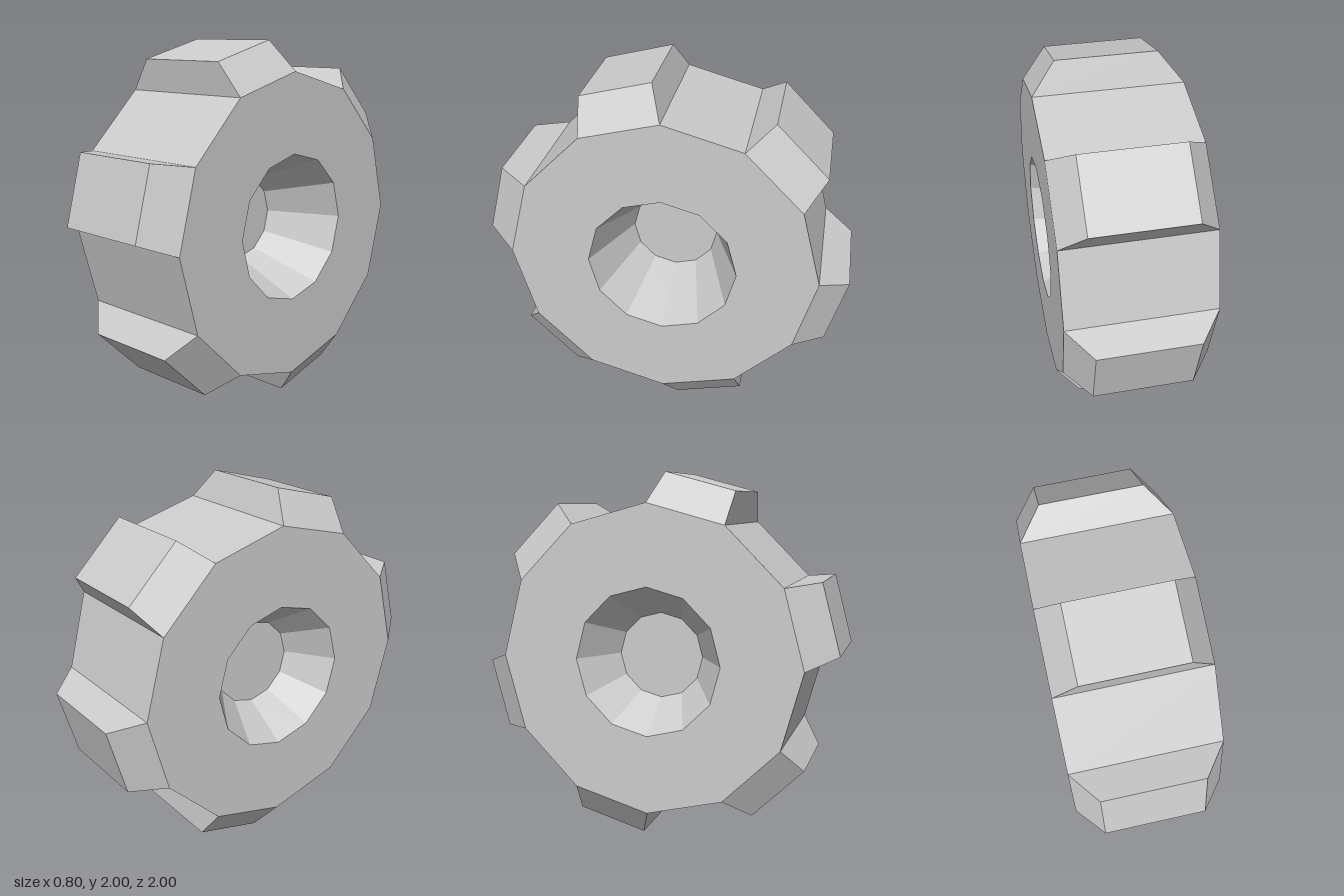
import * as THREE from 'three';

const SIDES = 12;
const RADIUS = 0.84;
const HALF_WIDTH = 0.4;

const material = new THREE.MeshStandardMaterial({ color: 0xcccccc, flatShading: true });

// Twelve-sided tyre with a conical hub recess on each side, axle along x
function createTyre() {
  const profile = [
    [0, -0.15], [0.24, -0.15], [0.405, -HALF_WIDTH], [RADIUS, -HALF_WIDTH],
    [RADIUS, HALF_WIDTH], [0.405, HALF_WIDTH], [0.24, 0], [0, 0],
  ].map(([r, y]) => new THREE.Vector2(r, y));
  const geometry = new THREE.LatheGeometry(profile, SIDES);
  geometry.rotateZ(-Math.PI / 2);
  const tyre = new THREE.Mesh(geometry, material);
  tyre.name = 'tyre';
  return tyre;
}

// Tread block: covers one flat of the tyre and tapers towards its top
function createTreadGeometry() {
  const apothem = RADIUS * Math.cos(Math.PI / SIDES);
  const flat = 2 * RADIUS * Math.sin(Math.PI / SIDES);
  const height = 0.983 - apothem;
  const geometry = new THREE.BoxGeometry(HALF_WIDTH * 2, height, flat);
  const p = geometry.attributes.position;
  for (let i = 0; i < p.count; i++) {
    if (p.getY(i) > 0) {
      p.setX(i, Math.sign(p.getX(i)) * 0.27);
      p.setZ(i, Math.sign(p.getZ(i)) * 0.196);
    }
  }
  geometry.translate(0, apothem + height / 2, 0);
  geometry.computeVertexNormals();
  return geometry;
}

export function createModel() {
  const wheel = new THREE.Group();
  wheel.name = 'wheel';
  wheel.position.y = 1;
  wheel.add(createTyre());

  // Tread blocks on every other flat
  const treadGeometry = createTreadGeometry();
  for (let i = 0; i < SIDES / 2; i++) {
    const tread = new THREE.Mesh(treadGeometry, material);
    tread.name = `treadBlock${i + 1}`;
    tread.rotation.x = Math.PI / SIDES + (i * 4 * Math.PI) / SIDES;
    wheel.add(tread);
  }

  const model = new THREE.Group();
  model.name = 'treadedWheel';
  model.add(wheel);
  return model;
}
